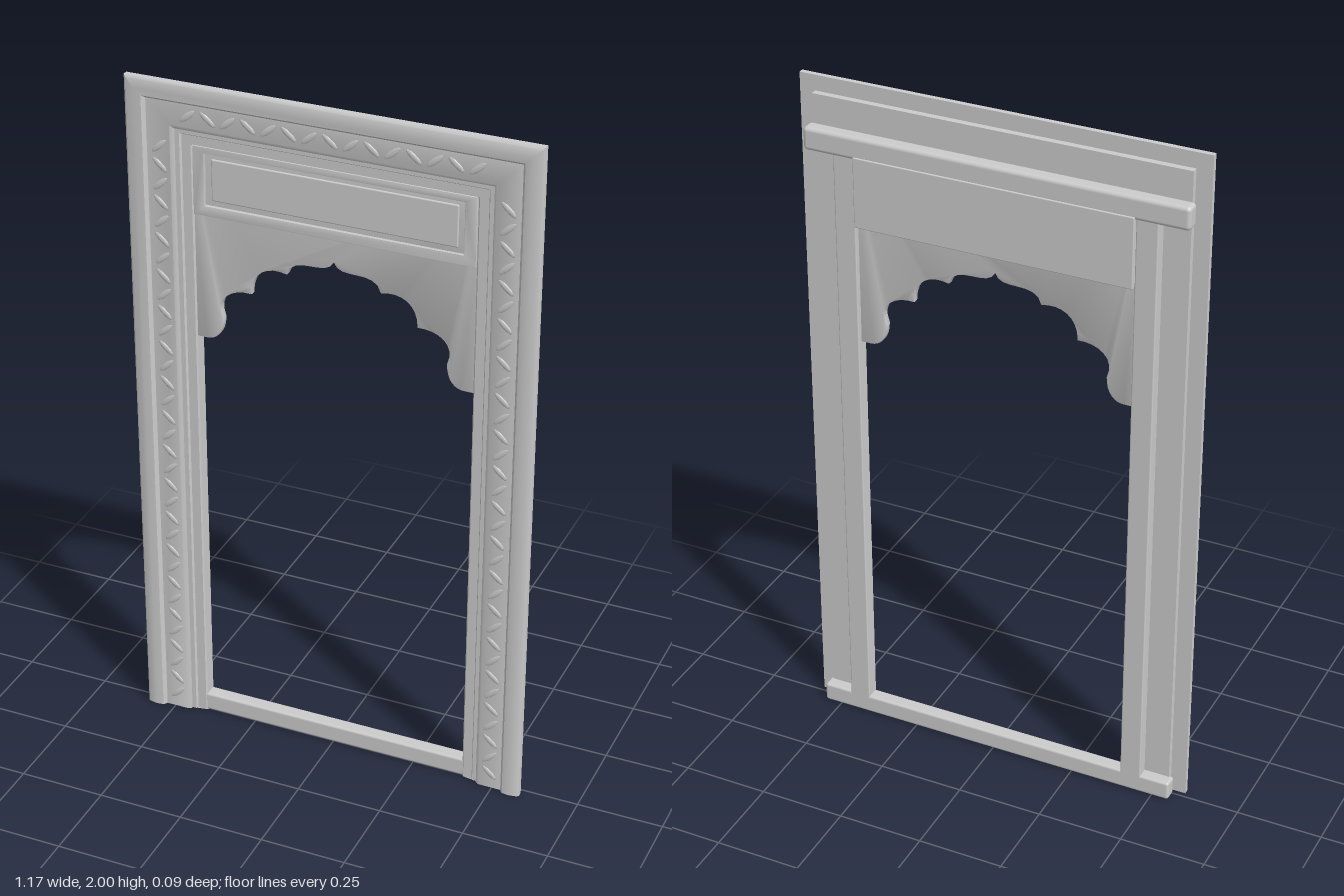
import * as THREE from 'three';
import { toCreasedNormals } from 'three/addons/utils/BufferGeometryUtils.js';
import { RoundedBoxGeometry } from 'three/addons/geometries/RoundedBoxGeometry.js';

const W = 0.585, H = 2;
const material = new THREE.MeshStandardMaterial({ color: 0xcccccc });

function add(parent, name, geometry, x = 0, y = 0, z = 0) {
  const mesh = new THREE.Mesh(geometry, material);
  mesh.name = name;
  mesh.position.set(x, y, z);
  parent.add(mesh);
  return mesh;
}

// Box given by its limits, with softly rounded edges
function block(parent, name, [x0, x1], [y0, y1], [z0, z1], radius = 0.004) {
  const g = new RoundedBoxGeometry(x1 - x0, y1 - y0, z1 - z0, 2, radius);
  return add(parent, name, g, (x0 + x1) / 2, (y0 + y1) / 2, (z0 + z1) / 2);
}

// Mitred door surround: a closed profile of [inset, z] swept up, across and down
function surround(profile) {
  const sections = [
    d => [-W + d, 0], d => [-W + d, H - d], d => [W - d, H - d], d => [W - d, 0],
  ].map(at => profile.map(([d, z]) => [...at(d), z]));
  const pos = [];
  const tri = (a, b, c) => pos.push(...a, ...b, ...c);
  const n = profile.length;
  for (let i = 0; i < 3; i++) {
    for (let j = 0; j < n; j++) {
      const k = (j + 1) % n, s = sections[i], t = sections[i + 1];
      tri(s[j], s[k], t[k]);
      tri(s[j], t[k], t[j]);
    }
  }
  for (let j = 1; j < n - 1; j++) {
    tri(sections[0][0], sections[0][j + 1], sections[0][j]);
    tri(sections[3][0], sections[3][j], sections[3][j + 1]);
  }
  const g = new THREE.BufferGeometry();
  g.setAttribute('position', new THREE.Float32BufferAttribute(pos, 3));
  return toCreasedNormals(g, 0.6);
}

// Half of the scalloped arch edge, from the centre peak to the jamb
function archHalf() {
  const p = new THREE.Path();
  p.moveTo(0, 1.555);
  p.bezierCurveTo(0.015, 1.5, 0.12, 1.56, 0.135, 1.49);
  p.bezierCurveTo(0.19, 1.505, 0.24, 1.48, 0.24, 1.41);
  p.bezierCurveTo(0.3, 1.415, 0.35, 1.38, 0.325, 1.32);
  p.bezierCurveTo(0.325, 1.27, 0.35, 1.25, 0.375, 1.25);
  p.lineTo(0.42, 1.25);
  return p.getPoints(8);
}

function extrude(shape, depth, bevel) {
  const g = new THREE.ExtrudeGeometry(shape, {
    depth: depth - 2 * bevel, bevelEnabled: true, bevelThickness: bevel,
    bevelSize: bevel, bevelOffset: -bevel, bevelSegments: 2,
  });
  g.translate(0, 0, bevel);
  return toCreasedNormals(g, 0.6);
}

function rectangle(C, x, y0, y1) {
  return new C([[-x, y0], [x, y0], [x, y1], [-x, y1]].map(p => new THREE.Vector2(...p)));
}

export function createModel() {
  const model = new THREE.Group();
  model.name = 'archedDoorway';

  // Nested surrounds, stepping back towards the opening
  add(model, 'outerFrame', surround([
    [0, 0.03], [0.006, 0.035], [0.03, 0.039], [0.05, 0.036], [0.058, 0.026],
    [0.058, 0.015], [0, 0.015],
  ]));
  add(model, 'carvedBand', surround([
    [0.045, 0.022], [0.06, 0.025], [0.125, 0.025], [0.135, 0.019],
    [0.135, -0.003], [0.045, -0.003],
  ]));
  add(model, 'innerFrame', surround([
    [0.13, 0.014], [0.148, 0.014], [0.152, 0.008], [0.178, 0.008], [0.182, 0.004],
    [0.182, -0.012], [0.13, -0.012],
  ]));

  // Low leaf relief along the band
  const carving = new THREE.Group();
  carving.name = 'bandCarving';
  model.add(carving);
  const leaf = new THREE.SphereGeometry(1, 8, 6).scale(0.032, 0.009, 0.004);
  for (let i = 0; i < 33; i++) {
    const tilt = i % 2 ? 0.75 : -0.75;
    for (const s of [-1, 1]) {
      add(carving, 'leaf', leaf, s * 0.491, 0.05 + i * 0.055, 0.024).rotation.z = s * tilt;
    }
  }
  for (let i = -7; i <= 7; i++) {
    add(carving, 'leaf', leaf, i * 0.058, 1.908, 0.024).rotation.z = i % 2 ? 0.7 : -0.7;
  }

  // Spandrel plate with scalloped lower edge
  const half = archHalf();
  const spandrel = new THREE.Shape([
    new THREE.Vector2(-0.42, 1.84),
    ...half.slice().reverse().map(p => new THREE.Vector2(-p.x, p.y)),
    ...half.slice(1),
    new THREE.Vector2(0.42, 1.84),
  ]);
  add(model, 'spandrel', extrude(spandrel, 0.022, 0.003), 0, 0, -0.02);

  // Panel over the arch: raised border, cushioned field, block behind
  const border = rectangle(THREE.Shape, 0.402, 1.622, 1.822);
  border.holes.push(rectangle(THREE.Path, 0.368, 1.652, 1.802));
  add(model, 'panelBorder', extrude(border, 0.012, 0.003), 0, 0, -0.001);
  block(model, 'panelField', [-0.35, 0.35], [1.667, 1.788], [-0.004, 0.006]);
  block(model, 'panelBack', [-0.402, 0.402], [1.61, 1.815], [-0.046, -0.01], 0.003);

  // Jambs behind the surround
  for (const s of [-1, 1]) {
    const x = s > 0 ? [0.403, 0.465] : [-0.465, -0.403];
    block(model, 'jamb', x, [0.01, 1.83], [-0.036, 0.003]);
  }

  // Lintel and threshold tying the back together
  block(model, 'lintel', [-0.552, 0.552], [1.805, 1.872], [-0.042, 0.002], 0.012);
  block(model, 'threshold', [-0.552, 0.552], [0, 0.057], [-0.036, 0.006], 0.008);

  return model;
}
